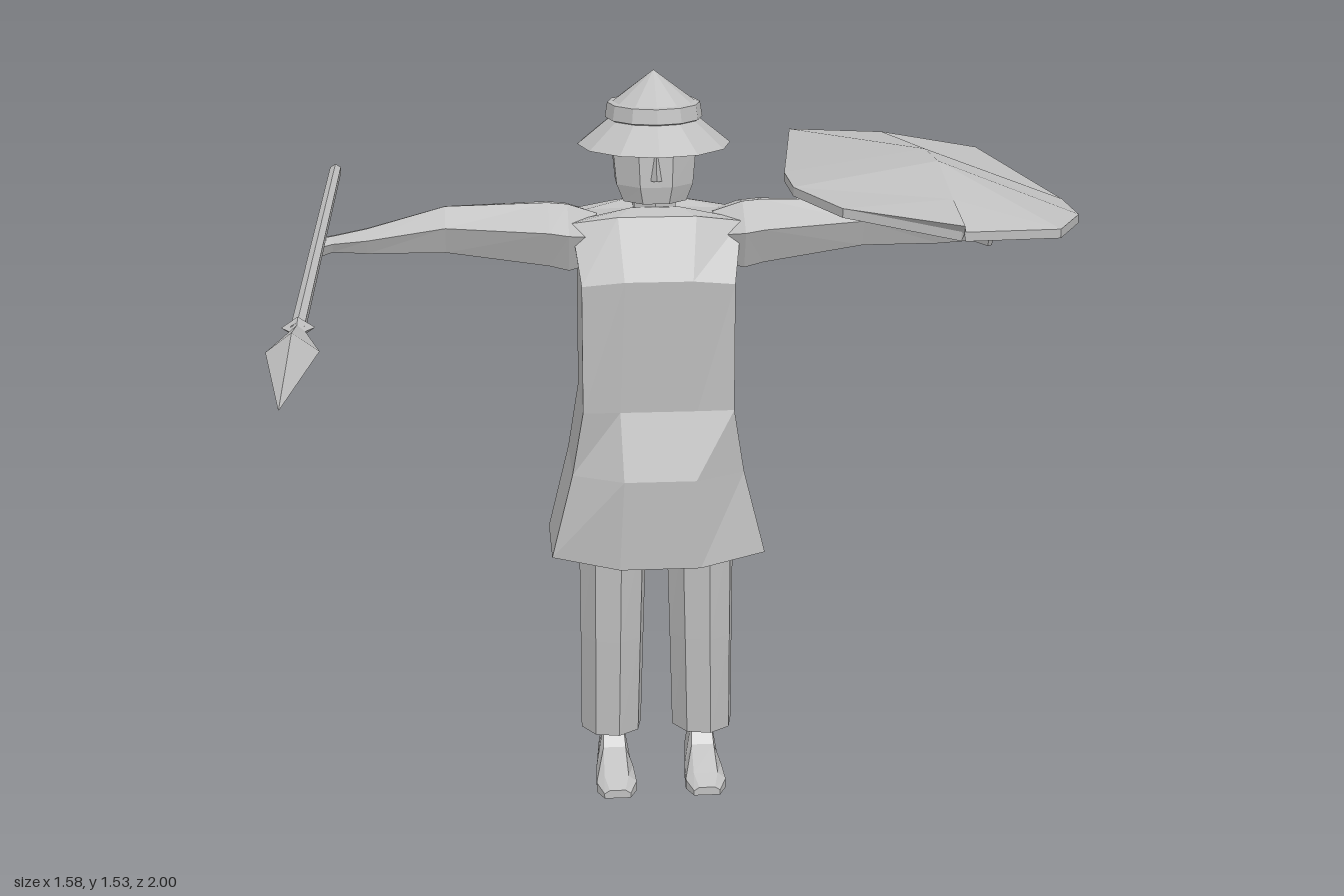
import * as THREE from 'three';

const grey = new THREE.MeshStandardMaterial({ color: 0xc0c0c0, flatShading: true });
grey.name = 'plain grey';
const CX = -0.057, CZ = -0.3; // figure's axis

// Skin a series of equal-length rings of [x, y, z] and cap both ends; faces always point outward.
function loft(name, rings) {
  const pos = [];
  const tri = (a, b, c) => pos.push(...a, ...b, ...c);
  const n = rings[0].length;
  for (let i = 0; i < rings.length - 1; i++) {
    for (let j = 0; j < n; j++) {
      const k = (j + 1) % n, a = rings[i], b = rings[i + 1];
      tri(a[j], a[k], b[k]);
      tri(a[j], b[k], b[j]);
    }
  }
  const cap = (ring, flip) => {
    const c = [0, 1, 2].map(d => ring.reduce((s, p) => s + p[d], 0) / n);
    ring.forEach((p, j) => {
      const q = ring[(j + 1) % n];
      flip ? tri(c, q, p) : tri(c, p, q);
    });
  };
  cap(rings[0], true);
  cap(rings[rings.length - 1], false);
  // signed volume decides the winding
  const v = i => new THREE.Vector3(pos[i], pos[i + 1], pos[i + 2]);
  let volume = 0;
  for (let i = 0; i < pos.length; i += 9) volume += v(i).dot(v(i + 3).cross(v(i + 6)));
  if (volume < 0) {
    for (let i = 0; i < pos.length; i += 9) {
      for (let d = 0; d < 3; d++) [pos[i + 3 + d], pos[i + 6 + d]] = [pos[i + 6 + d], pos[i + 3 + d]];
    }
  }
  const geo = new THREE.BufferGeometry();
  geo.setAttribute('position', new THREE.Float32BufferAttribute(pos, 3));
  geo.computeVertexNormals();
  const mesh = new THREE.Mesh(geo, grey);
  mesh.name = name;
  return mesh;
}

// Horizontal elliptical ring
function oval(y, cx, cz, rx, rz, n, turn = 0) {
  return Array.from({ length: n }, (_, i) => {
    const a = (i / n) * Math.PI * 2 + turn;
    return [cx + Math.sin(a) * rx, y, cz + Math.cos(a) * rz];
  });
}

// Tunic ring: centre, panel and corner points, front and back
function tunicRing([y, yMid, panelX, frontZ, cornerX, cornerF, cornerB, backZ]) {
  return [
    [0, yMid, frontZ], [panelX, yMid, frontZ], [cornerX, y, cornerF],
    [cornerX, y, cornerB], [panelX, yMid, backZ], [0, yMid, backZ],
    [-panelX, yMid, backZ], [-cornerX, y, cornerB],
    [-cornerX, y, cornerF], [-panelX, yMid, frontZ],
  ].map(([x, h, z]) => [CX + x, h, z]);
}

// Hat: brim, band and pointed crown turned as one profile
function makeHat() {
  const profile = [[0, 1.385], [0.09, 1.395], [0.157, 1.38], [0.093, 1.432],
    [0.1, 1.435], [0.095, 1.465], [0.084, 1.467], [0, 1.53]];
  const hat = new THREE.Mesh(
    new THREE.LatheGeometry(profile.map(p => new THREE.Vector2(...p)), 12), grey);
  hat.name = 'hat';
  hat.position.set(CX, 0, CZ);
  hat.scale.z = 1.1;
  return hat;
}

function makeArm(name, side) {
  // distance from axis, top, bottom, front z, back z
  const stations = [
    [0.12, 1.24, 1.13, -0.22, -0.39],
    [0.18, 1.262, 1.115, -0.19, -0.41],
    [0.22, 1.265, 1.125, -0.195, -0.41],
    [0.43, 1.258, 1.155, -0.235, -0.375],
    [0.59, 1.215, 1.16, -0.25, -0.335],
    [0.66, 1.2, 1.165, -0.262, -0.325],
    [0.695, 1.195, 1.153, -0.255, -0.33],
    [0.705, 1.182, 1.155, -0.265, -0.32],
  ];
  return loft(name, stations.map(([d, top, low, f, b]) => {
    const x = CX + side * d, h = top - low, w = f - b;
    return [
      [x, top, f - w * 0.35], [x, top - h * 0.35, f], [x, low + h * 0.12, f - w * 0.15],
      [x, low, b + w * 0.4], [x, top - h * 0.55, b], [x, top - h * 0.12, b + w * 0.2],
    ];
  }));
}

function makeLeg(side) {
  const leg = new THREE.Group();
  leg.name = side > 0 ? 'leftLeg' : 'rightLeg';
  const x = CX + side * 0.096;
  leg.add(loft('trouser', [
    oval(0.1, x + side * 0.003, -0.297, 0.067, 0.078, 8, 0.2),
    oval(0.32, x, -0.283, 0.07, 0.076, 8, 0.2),
    oval(0.56, x - side * 0.003, -0.272, 0.074, 0.074, 8, 0.2),
  ]));
  // Shoe: sections from heel to toe
  const shoe = [[-0.35, 0.1, 0.03], [-0.27, 0.11, 0.036], [-0.23, 0.07, 0.04],
    [-0.155, 0.035, 0.043], [-0.118, 0.018, 0.028]];
  leg.add(loft('shoe', shoe.map(([z, h, w]) => [
    [x - w, 0, z], [x + w, 0, z], [x + w, Math.min(h * 0.6, 0.025), z],
    [x + w * 0.6, h, z], [x - w * 0.6, h, z], [x - w, Math.min(h * 0.6, 0.025), z],
  ])));
  return leg;
}

function makeSpear() {
  const spear = new THREE.Group();
  spear.name = 'spear';
  const shaft = new THREE.Mesh(new THREE.CylinderGeometry(0.014, 0.014, 1.49, 6), grey);
  shaft.name = 'shaft';
  shaft.rotation.x = Math.PI / 2;
  shaft.position.z = -0.255;
  spear.add(shaft);
  // Collar and leaf blade, diamond in section
  const blade = [[0.472, 0.03, 0.02], [0.5, 0.014, 0.012], [0.64, 0.046, 0.034], [0.998, 0.001, 0.001]];
  spear.add(loft('blade', blade.map(([z, w, h]) => [[w, 0, z], [0, h, z], [-w, 0, z], [0, -h, z]])));
  spear.position.set(-0.743, 1.2, 0);
  return spear;
}

// Shield: cross-sections from rear to tip, arched along a spine and tilted sideways
function makeShield() {
  const spineX = 0.497;
  // z at edges, z at spine, half width, spine height, underside height
  const sections = [
    [-0.805, -0.823, 0.213, 1.302, 1.277],
    [-0.25, -0.25, 0.29, 1.368, 1.3],
    [-0.095, -0.095, 0.29, 1.372, 1.305],
    [0.08, 0.08, 0.215, 1.33, 1.3],
    [0.2, 0.215, 0.004, 1.305, 1.292],
  ];
  return loft('shield', sections.map(([ze, zs, w, top, low]) => {
    const edge = s => 1.291 - 0.112 * s * w;
    return [
      [spineX - w, edge(-1), ze], [spineX, top, zs], [spineX + w, edge(1), ze],
      [spineX + w, edge(1) - 0.018, ze], [spineX, low, zs], [spineX - w, edge(-1) - 0.018, ze],
    ];
  }));
}

export function createModel() {
  const model = new THREE.Group();
  model.name = 'spearman';

  // y of corners, y of panels, panel x, front z, corner x, corner front z, corner back z, back z
  model.add(loft('tunic', [
    [0.52, 0.505, 0.085, -0.15, 0.225, -0.2, -0.415, -0.452],
    [0.7, 0.7, 0.075, -0.14, 0.18, -0.2, -0.42, -0.46],
    [0.84, 0.84, 0.08, -0.178, 0.157, -0.18, -0.42, -0.425],
    [1.11, 1.12, 0.07, -0.158, 0.157, -0.17, -0.405, -0.41],
    [1.23, 1.245, 0.08, -0.205, 0.174, -0.225, -0.375, -0.385],
    [1.235, 1.256, 0.05, -0.25, 0.14, -0.26, -0.34, -0.35],
  ].map(tunicRing)));

  // Neck, faceted head and nose
  model.add(loft('neck', [oval(1.22, CX, CZ, 0.05, 0.05, 6), oval(1.3, CX, CZ, 0.048, 0.05, 6)]));
  model.add(loft('head', [
    oval(1.265, CX, -0.298, 0.07, 0.068, 8, Math.PI / 8),
    oval(1.3, CX, -0.305, 0.085, 0.082, 8, Math.PI / 8),
    oval(1.37, CX, -0.31, 0.092, 0.085, 8, Math.PI / 8),
    oval(1.43, CX, -0.31, 0.085, 0.08, 8, Math.PI / 8),
  ]));
  model.add(loft('nose', [
    [[CX - 0.018, 1.312, -0.24], [CX, 1.315, -0.212], [CX + 0.018, 1.312, -0.24]],
    [[CX - 0.008, 1.37, -0.24], [CX, 1.37, -0.228], [CX + 0.008, 1.37, -0.24]],
  ]));
  model.add(makeHat());

  model.add(makeArm('leftArm', 1), makeArm('rightArm', -1));
  model.add(makeLeg(1), makeLeg(-1));
  model.add(makeSpear(), makeShield());
  return model;
}
